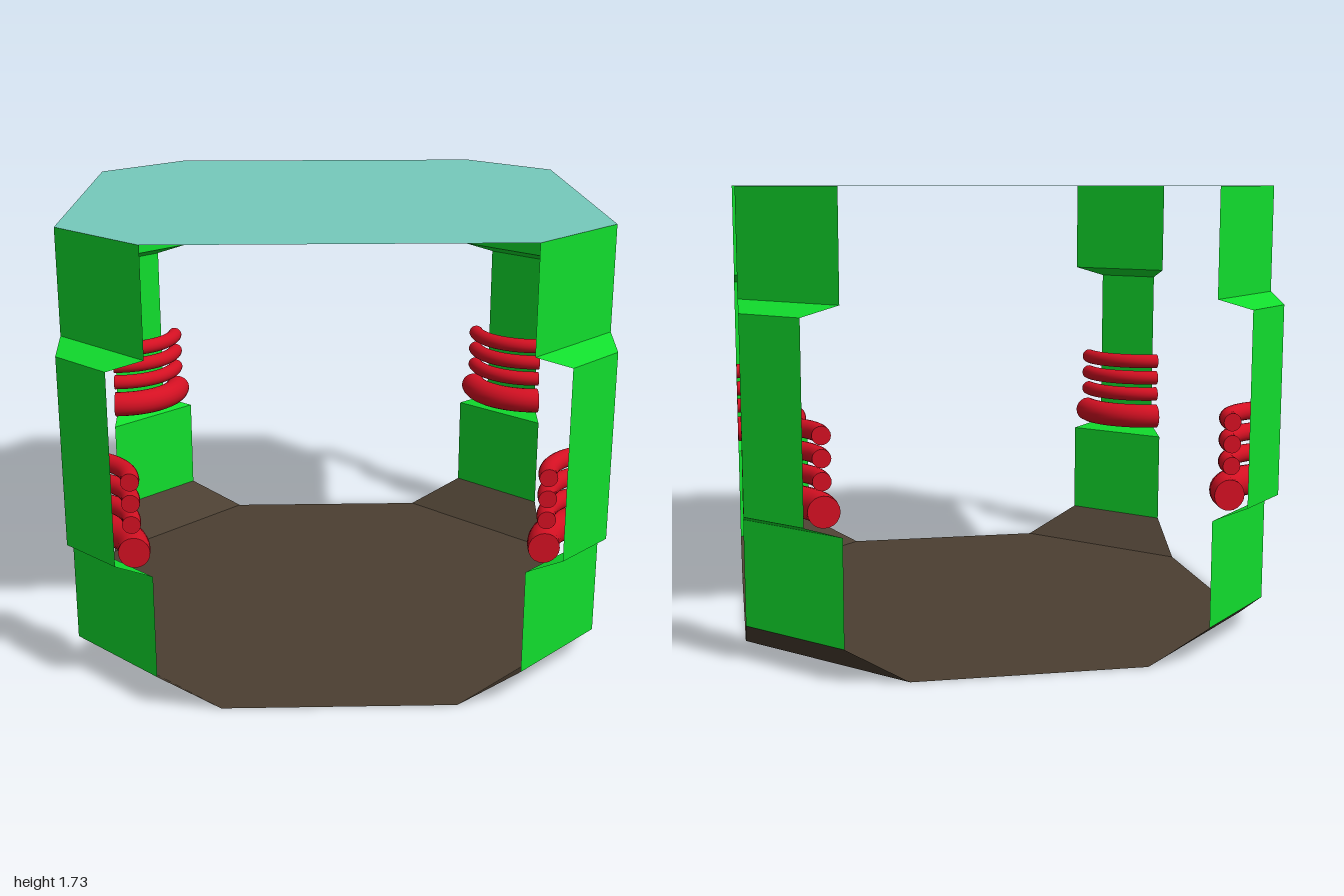
import * as THREE from 'three';

const mat = (color, opts = {}) => new THREE.MeshStandardMaterial({ color, ...opts });
const sheet = { side: THREE.DoubleSide, flatShading: true };
const GREEN = mat(0x11dd2d, sheet);
const BROWN = mat(0x4b3f32, sheet);
const TEAL = mat(0x76cabc, sheet);
const RED = mat(0xd41022);

function add(parent, name, geometry, material) {
  const mesh = new THREE.Mesh(geometry, material);
  mesh.name = name;
  parent.add(mesh);
  return mesh;
}

// Square of half-size 1 with its corners cut off at c, lying flat
function octagon(c) {
  const pts = [[c, -1], [1, -c], [1, c], [c, 1], [-c, 1], [-1, c], [-1, -c], [-c, -1]];
  return new THREE.ShapeGeometry(new THREE.Shape(pts.map(([x, y]) => new THREE.Vector2(x, y))));
}

// Folded strip across one cut corner; each row is [corner cut, height]
function cornerStrip(rows) {
  const pos = [];
  for (let i = 0; i < rows.length - 1; i++) {
    const [c, y] = rows[i], [d, t] = rows[i + 1];
    const a = [-c, y, -1], b = [-1, y, -c], b2 = [-1, t, -d], a2 = [-d, t, -1];
    pos.push(...a, ...b, ...b2, ...a, ...b2, ...a2);
  }
  const g = new THREE.BufferGeometry();
  g.setAttribute('position', new THREE.Float32BufferAttribute(pos, 3));
  g.computeVertexNormals();
  return g;
}

// Quarter ring around the corner, closed by a disc at each end
function ring(parent, name, y, R, r) {
  const group = new THREE.Group();
  group.name = name;
  group.position.set(-1, y, -1);
  add(group, 'ringTube', new THREE.TorusGeometry(R, r, 20, 24, Math.PI / 2).rotateX(Math.PI / 2), RED);
  add(group, 'ringEndBack', new THREE.CircleGeometry(r, 20).rotateY(Math.PI).translate(R, 0, 0), RED);
  add(group, 'ringEndSide', new THREE.CircleGeometry(r, 20).rotateY(-Math.PI / 2).translate(0, 0, R), RED);
  parent.add(group);
}

export function createModel() {
  const model = new THREE.Group();
  model.name = 'chamber';

  const CUT = 0.667, NECK = 0.8, FLOOR = 0.437, TOP = 1.733, SILL = 0.133;

  // Ceiling and floor plates
  add(model, 'ceiling', octagon(CUT).rotateX(-Math.PI / 2).translate(0, TOP, 0), TEAL);
  add(model, 'floor', octagon(FLOOR).rotateX(Math.PI / 2), BROWN);

  // Four identical corners: ramp, recessed pillar and stacked rings
  for (let i = 0; i < 4; i++) {
    const corner = new THREE.Group();
    corner.name = 'corner' + (i + 1);
    corner.rotation.y = i * Math.PI / 2;
    add(corner, 'ramp', cornerStrip([[FLOOR, 0], [CUT, SILL]]), BROWN);
    add(corner, 'pillar', cornerStrip([
      [CUT, SILL], [CUT, 0.534], [NECK, 0.574], [NECK, 1.296], [CUT, 1.336], [CUT, TOP],
    ]), GREEN);
    ring(corner, 'thickRing', 0.627, 0.27, 0.057);
    for (const y of [0.734, 0.814, 0.894]) ring(corner, 'thinRing', y, 0.265, 0.033);
    model.add(corner);
  }
  return model;
}
